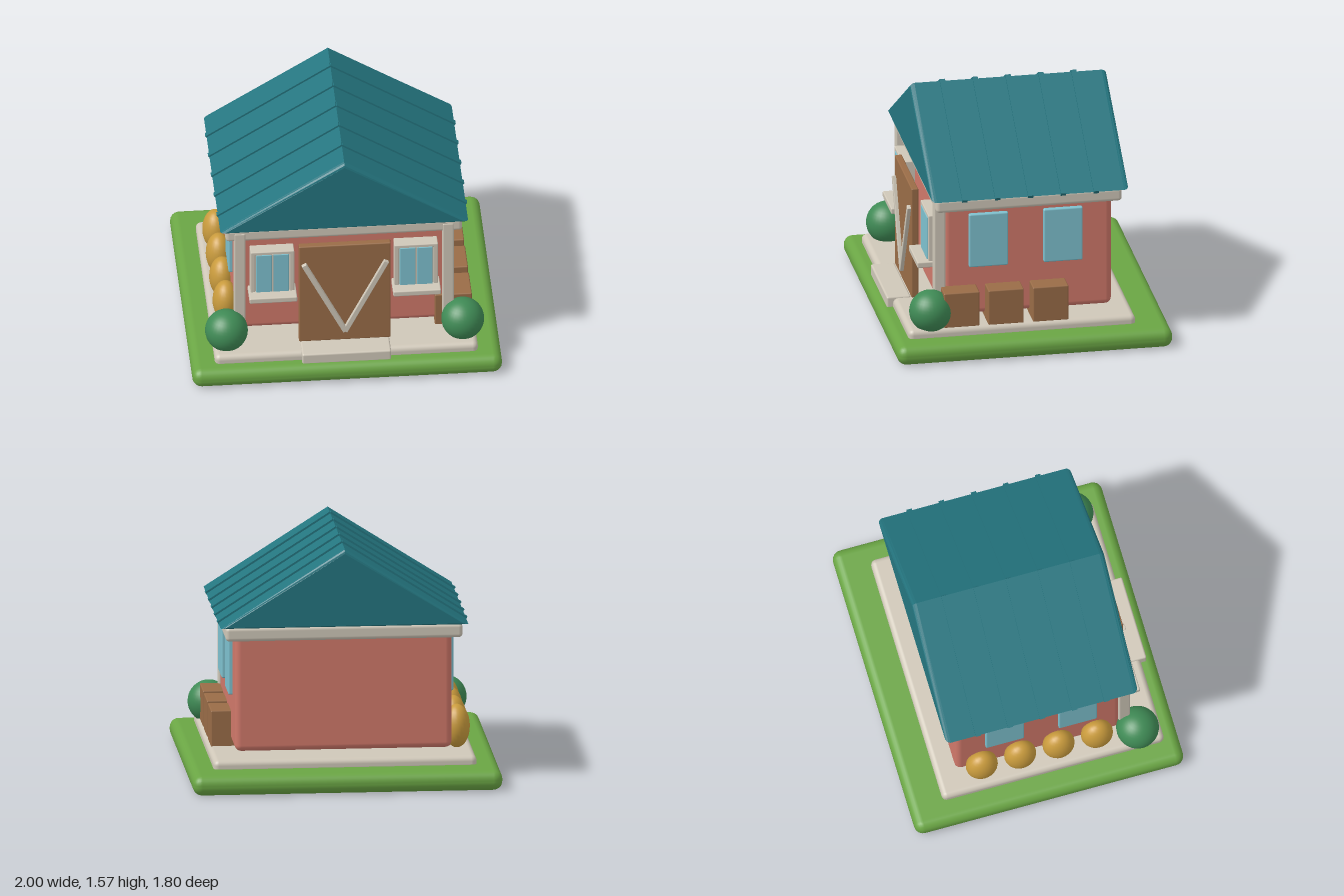
import * as THREE from 'three';
import { RoundedBoxGeometry } from 'three/addons/geometries/RoundedBoxGeometry.js';

const mat = (name, color) => {
  const m = new THREE.MeshStandardMaterial({ color });
  m.name = name;
  return m;
};

export function createModel() {
  const grass = mat('grass green', 0x6aa544);
  const stone = mat('warm stone', 0xcfc7b8);
  const plaster = mat('coral plaster', 0xd0786a);
  const teal = mat('roof teal', 0x24757f);
  const wood = mat('wood brown', 0x996c47);
  const glass = mat('window blue', 0x7ec1cf);
  const leaf = mat('bush green', 0x3f8a55);
  const straw = mat('straw gold', 0xc99b3d);

  const model = new THREE.Group();
  model.name = 'house';

  const add = (name, geometry, material, parent = model) => {
    const mesh = new THREE.Mesh(geometry, material);
    mesh.name = name;
    parent.add(mesh);
    return mesh;
  };
  // Softened box given by its extents on each axis
  const block = (name, material, [x0, x1], [y0, y1], [z0, z1], r, parent) => {
    const mesh = add(name, new RoundedBoxGeometry(x1 - x0, y1 - y0, z1 - z0, 3, r), material, parent);
    mesh.position.set((x0 + x1) / 2, (y0 + y1) / 2, (z0 + z1) / 2);
    return mesh;
  };
  const around = (c, size) => [c - size / 2, c + size / 2];

  // Ground, foundation and front step
  block('lawn', grass, [-1, 1], [0, 0.13], [-0.9, 0.9], 0.06);
  block('foundation', stone, [-0.85, 0.85], [0.1, 0.187], [-0.68, 0.805], 0.035);
  block('frontStep', stone, [-0.29, 0.285], [0.12, 0.198], [0.69, 0.845], 0.012);

  // Walls and the beam under the roof
  block('walls', plaster, [-0.7, 0.7], [0.214, 1.0], [-0.55, 0.55], 0.04);
  block('eaveBeam', stone, [-0.765, 0.765], [0.952, 1.046], [-0.607, 0.61], 0.025);

  // Gabled roof with softened gable edges
  const half = 0.8, eave = 1.045, ridge = 1.558, depth = 1.285, bevel = 0.03;
  const gable = new THREE.Shape([
    new THREE.Vector2(-half, eave), new THREE.Vector2(half, eave), new THREE.Vector2(0, ridge),
  ]);
  const roof = add('roof', new THREE.ExtrudeGeometry(gable, {
    depth: depth - 2 * bevel, bevelEnabled: true, bevelThickness: bevel,
    bevelSize: 0.025, bevelOffset: -0.025, bevelSegments: 3,
  }), teal);
  roof.position.z = -depth / 2 + bevel;

  // Raised roof seams, one on each slope
  const slope = Math.atan2(ridge - eave, half);
  const slopeLength = Math.hypot(half, ridge - eave);
  for (let i = -2; i <= 2; i++) {
    for (const s of [-1, 1]) {
      const seam = add('roofSeam', new THREE.BoxGeometry(slopeLength + 0.006, 0.024, 0.035), teal);
      seam.position.set(s * half / 2, (eave + ridge) / 2, i * 0.215);
      seam.rotation.z = -s * slope;
    }
  }

  // Barn door with V-shaped brace
  const door = new THREE.Group();
  door.name = 'door';
  model.add(door);
  block('doorPanel', wood, [-0.297, 0.295], [0.187, 0.943], [0.64, 0.686], 0.008, door);
  for (const s of [-1, 1]) {
    const dx = 0.265, dy = 0.535;
    const brace = add('doorBrace', new RoundedBoxGeometry(0.034, Math.hypot(dx, dy) + 0.01, 0.028, 2, 0.004), stone, door);
    brace.position.set(s * dx / 2, 0.27 + dy / 2, 0.696);
    brace.rotation.z = -s * Math.atan2(dx, dy);
  }

  // Parts mirrored left and right
  for (const s of [-1, 1]) {
    block('frontPost', stone, around(s * 0.673, 0.074), [0.18, 1.018], [0.54, 0.614], 0.01);

    // Front window: frame, two panes, mullion, sill
    const win = new THREE.Group();
    win.name = 'frontWindow';
    model.add(win);
    const cx = s * 0.464;
    for (const t of [-1, 1]) {
      block('frameSide', stone, around(cx + t * 0.126, 0.03), [0.54, 0.877], [0.54, 0.632], 0.006, win);
      block('pane', glass, around(cx + t * 0.055, 0.102), [0.55, 0.856], [0.55, 0.636], 0.006, win);
    }
    block('frameTop', stone, around(cx, 0.282), [0.85, 0.877], [0.54, 0.632], 0.006, win);
    block('frameBack', stone, around(cx, 0.27), [0.54, 0.865], [0.54, 0.622], 0.006, win);
    block('mullion', stone, around(cx, 0.012), [0.55, 0.856], [0.55, 0.634], 0.003, win);
    block('sill', stone, around(cx, 0.308), [0.523, 0.563], [0.55, 0.707], 0.008, win);

    // Side windows
    for (const z of [0.26, -0.228]) {
      block('sideWindow', glass, around(s * 0.704, 0.046), [0.548, 0.916], around(z, 0.256), 0.01);
    }

    // Round bush
    add('bush', new THREE.SphereGeometry(0.138, 32, 20), leaf).position.set(s * 0.763, 0.284, 0.648);
  }

  // Crates along one side
  for (const z of [0.455, 0.165, -0.127]) {
    block('crate', wood, [0.59, 0.829], [0.18, 0.42], around(z, 0.232), 0.008);
  }

  // Straw bundles along the other side
  for (let i = 0; i < 4; i++) {
    const bundle = add('strawBundle', new THREE.SphereGeometry(1, 24, 16), straw);
    bundle.scale.set(0.085, 0.142, 0.105);
    bundle.position.set(-0.745, 0.325, -0.39 + i * 0.257);
  }

  return model;
}
